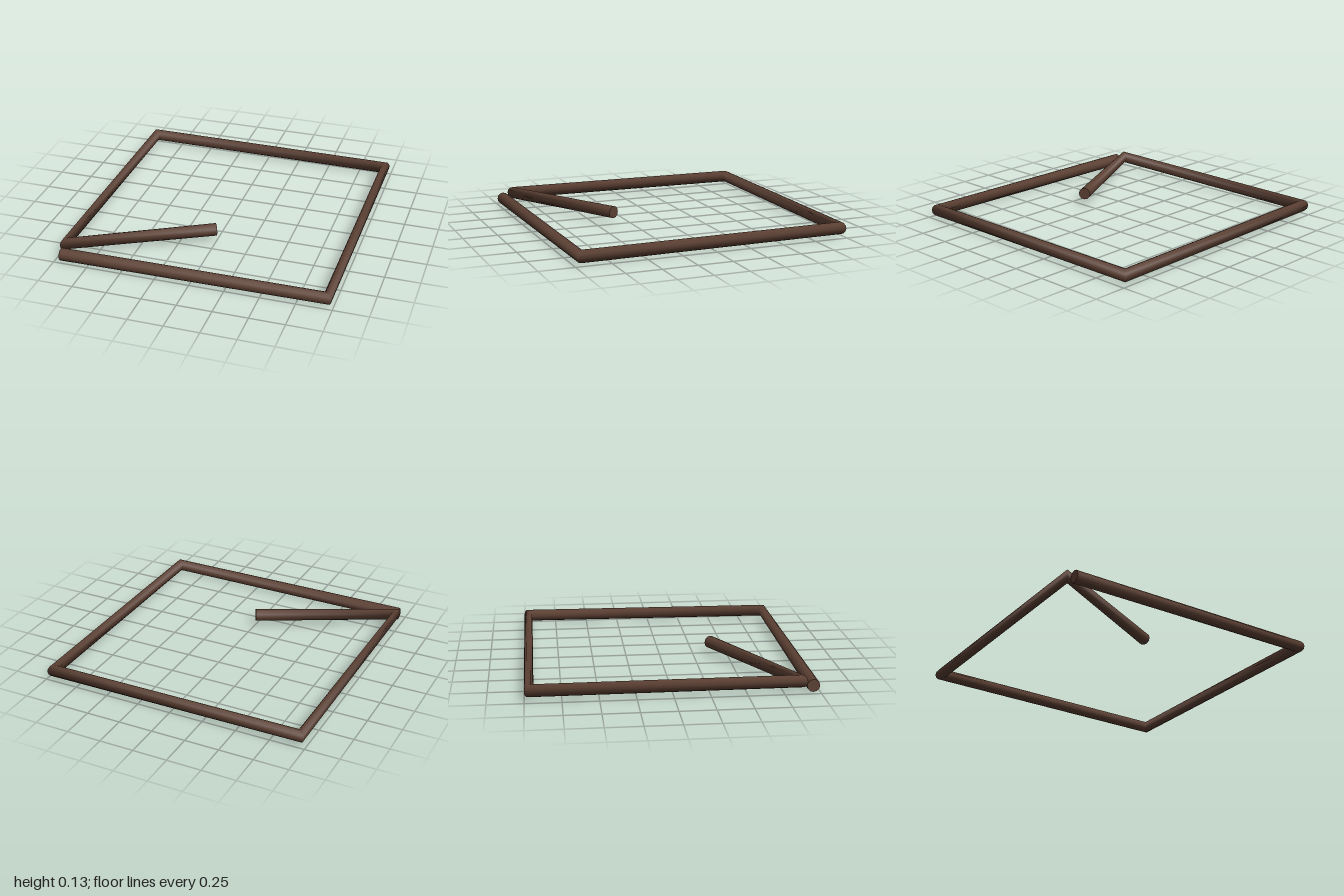
import * as THREE from 'three';

const RADIUS = 0.045;
const SIDES = 12;

// Centre line of the rod: a slowly rising square coil that ends in an inward arm
const PATH = [
  [-0.96, 0.045, 0.953],
  [0.955, 0.056, 0.95],
  [0.955, 0.066, -0.968],
  [-0.958, 0.075, -0.968],
  [-0.963, 0.082, 0.871],
  [-0.005, 0.089, 0.375],
].map((p) => new THREE.Vector3(...p));

function direction(a, b) {
  return b.clone().sub(a).normalize();
}

// Rings stand across the averaged direction at each corner, so the rod pinches there
function rodGeometry() {
  const positions = [], normals = [], index = [];
  const up = new THREE.Vector3(0, 1, 0);
  const last = PATH.length - 1;
  PATH.forEach((point, i) => {
    const tangent = new THREE.Vector3();
    if (i > 0) tangent.add(direction(PATH[i - 1], point));
    if (i < last) tangent.add(direction(point, PATH[i + 1]));
    tangent.normalize();
    const side = tangent.clone().cross(up).normalize();
    const rise = side.clone().cross(tangent);
    for (let j = 0; j <= SIDES; j++) {
      const a = (j / SIDES) * Math.PI * 2;
      const n = side.clone().multiplyScalar(Math.cos(a)).addScaledVector(rise, Math.sin(a));
      normals.push(n.x, n.y, n.z);
      const v = point.clone().addScaledVector(n, RADIUS);
      positions.push(v.x, v.y, v.z);
      if (i < last && j < SIDES) {
        const p = i * (SIDES + 1) + j, q = p + SIDES + 1;
        index.push(p, q, p + 1, q, q + 1, p + 1);
      }
    }
  });
  const geometry = new THREE.BufferGeometry();
  geometry.setAttribute('position', new THREE.Float32BufferAttribute(positions, 3));
  geometry.setAttribute('normal', new THREE.Float32BufferAttribute(normals, 3));
  geometry.setIndex(index);
  return geometry;
}

export function createModel() {
  const group = new THREE.Group();
  group.name = 'squareCoil';
  const brown = new THREE.MeshStandardMaterial({ color: 0x5c4033 });
  brown.name = 'dark brown';

  const rod = new THREE.Mesh(rodGeometry(), brown);
  rod.name = 'bentRod';
  group.add(rod);

  // Flat discs closing both ends
  const addCap = (name, end, neighbour) => {
    const cap = new THREE.Mesh(new THREE.CircleGeometry(RADIUS, SIDES), brown);
    cap.name = name;
    cap.position.copy(end);
    cap.lookAt(end.clone().add(direction(neighbour, end)));
    group.add(cap);
  };
  addCap('startCap', PATH[0], PATH[1]);
  addCap('armCap', PATH[5], PATH[4]);

  return group;
}
